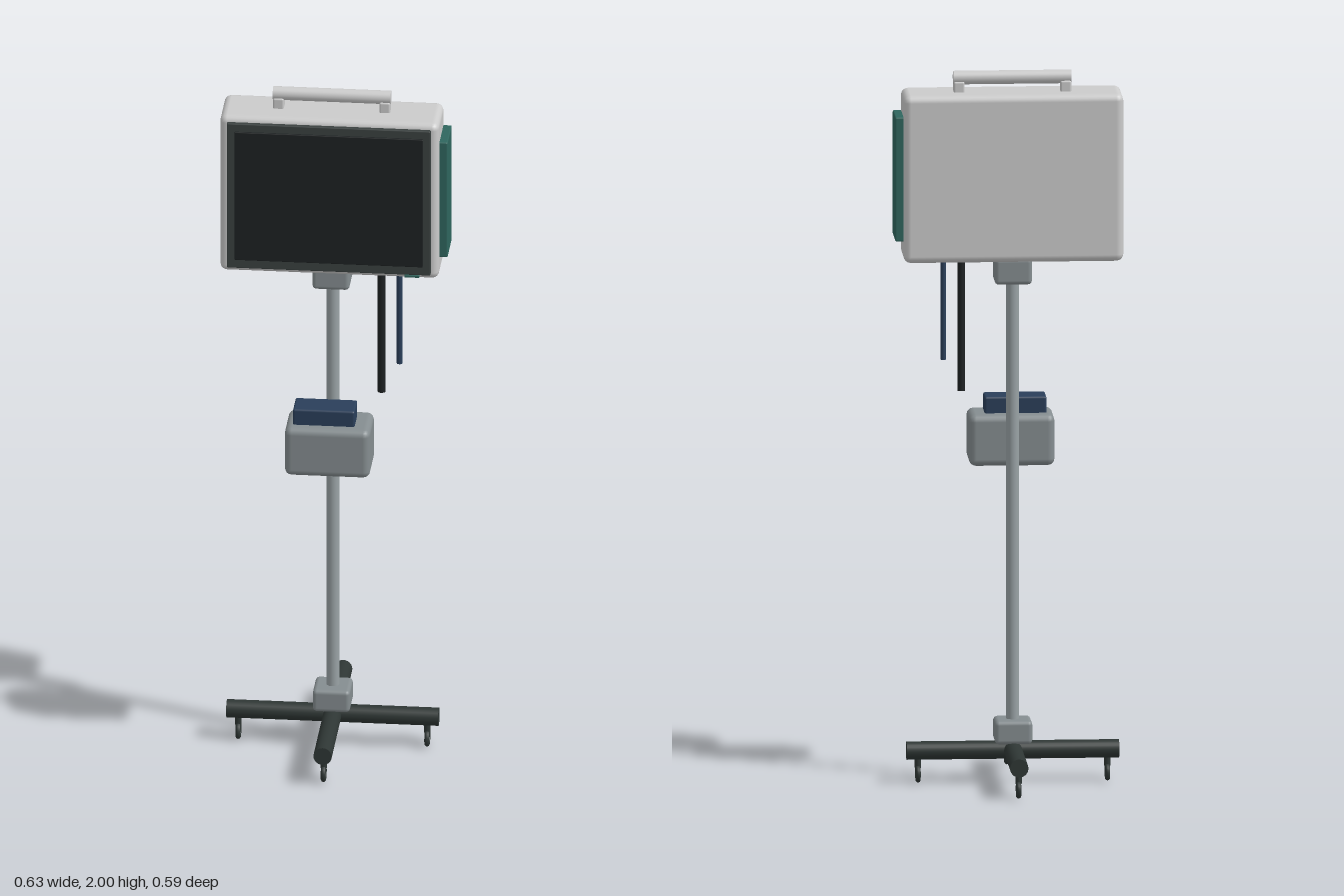
import * as THREE from 'three';
import { RoundedBoxGeometry } from 'three/addons/geometries/RoundedBoxGeometry.js';

const mat = (color) => new THREE.MeshStandardMaterial({ color });
const AXIS = -0.012; // x of the pole

export function createModel() {
  const model = new THREE.Group();
  model.name = 'wheeledMonitorStand';
  const shell = mat(0xcccccc), metal = mat(0x9aa3a6), grey = mat(0x858d90);
  const dark = mat(0x2e3634), bezelMat = mat(0x3a4140), black = mat(0x1d2122);
  const green = mat(0x2f665e), blue = mat(0x2a3f5a);

  const add = (name, geometry, material, x, y, z, parent = model) => {
    const mesh = new THREE.Mesh(geometry, material);
    mesh.name = name;
    mesh.position.set(x, y, z);
    parent.add(mesh);
    return mesh;
  };
  // Rounded box given by its low and high corners
  const box = (name, material, [x0, y0, z0], [x1, y1, z1], r, parent) =>
    add(name, new RoundedBoxGeometry(x1 - x0, y1 - y0, z1 - z0, 2, r), material,
      (x0 + x1) / 2, (y0 + y1) / 2, (z0 + z1) / 2, parent);
  // Upright rod between two heights
  const rod = (name, material, x, z, y0, y1, r, parent) =>
    add(name, new THREE.CylinderGeometry(r, r, y1 - y0, 24), material, x, (y0 + y1) / 2, z, parent);

  // Monitor housing, bezel, screen and side panel
  const monitor = new THREE.Group();
  monitor.name = 'monitor';
  model.add(monitor);
  box('housing', shell, [-0.317, 1.47, -0.055], [0.293, 1.942, 0.107], 0.02, monitor);
  box('bezel', bezelMat, [-0.296, 1.487, 0.1], [0.271, 1.926, 0.118], 0.003, monitor);
  box('screen', black, [-0.274, 1.514, 0.112], [0.25, 1.903, 0.124], 0.002, monitor);
  box('statusButton', green, [0.198, 1.478, 0.1], [0.24, 1.486, 0.116], 0.002, monitor);
  box('sidePanel', green, [0.285, 1.53, -0.034], [0.316, 1.88, 0.086], 0.004, monitor);

  // Carrying handle
  const handle = new THREE.Group();
  handle.name = 'handle';
  model.add(handle);
  const grip = add('grip', new THREE.CylinderGeometry(0.019, 0.019, 0.328, 24), shell, AXIS, 1.981, 0.02, handle);
  grip.rotation.z = Math.PI / 2;
  for (const s of [-1, 1]) {
    const x = AXIS + s * 0.148;
    box('handlePost', shell, [x - 0.015, 1.93, 0], [x + 0.015, 1.972, 0.04], 0.005, handle);
  }

  // Pole with its collars
  rod('pole', metal, AXIS, 0, 0.1, 1.46, 0.018);
  box('neckCollar', grey, [AXIS - 0.052, 1.405, -0.04], [AXIS + 0.052, 1.48, 0.064], 0.012);
  box('baseCollar', grey, [AXIS - 0.052, 0.112, -0.052], [AXIS + 0.052, 0.178, 0.052], 0.012);

  // Equipment case on the pole
  box('equipmentCase', grey, [-0.131, 0.882, 0.024], [0.107, 1.027, 0.172], 0.02);
  box('caseModule', blue, [-0.11, 1.02, 0.058], [0.062, 1.073, 0.14], 0.006);

  // Hanging cables
  rod('blackCable', black, 0.128, 0.043, 1.095, 1.48, 0.011);
  rod('blueCable', blue, 0.178, 0.043, 1.183, 1.48, 0.008);

  // Crossed base legs
  const base = new THREE.Group();
  base.name = 'base';
  base.position.x = AXIS;
  model.add(base);
  const legGeo = new THREE.CylinderGeometry(0.0255, 0.0255, 0.59, 24);
  add('sideLegs', legGeo, dark, 0, 0.09, 0, base).rotation.z = Math.PI / 2;
  add('frontBackLegs', legGeo, dark, 0, 0.09, 0, base).rotation.x = Math.PI / 2;

  // A caster under each leg end
  const tyreGeo = new THREE.TorusGeometry(0.018, 0.007, 10, 24).rotateY(Math.PI / 2);
  const hubGeo = new THREE.CylinderGeometry(0.013, 0.013, 0.009, 20).rotateZ(Math.PI / 2);
  for (const [x, z] of [[1, 0], [-1, 0], [0, 1], [0, -1]]) {
    const caster = new THREE.Group();
    caster.name = 'caster';
    caster.position.set(x * 0.263, 0, z * 0.263);
    base.add(caster);
    add('tyre', tyreGeo, dark, 0, 0.025, 0, caster);
    add('hub', hubGeo, metal, 0, 0.025, 0, caster);
    rod('stem', dark, 0, 0, 0.042, 0.07, 0.009, caster);
  }
  return model;
}
